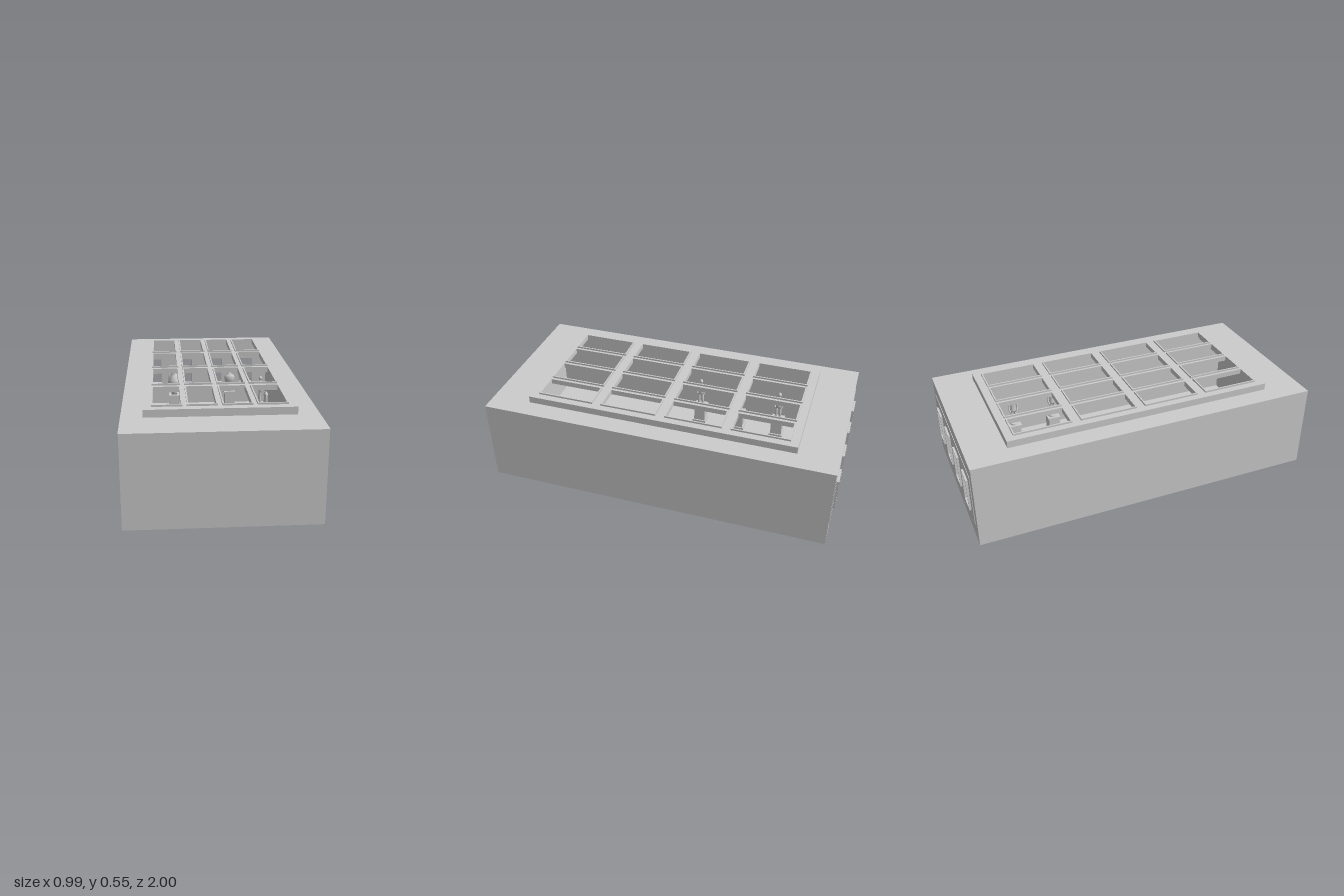
import * as THREE from 'three';

const mat = new THREE.MeshStandardMaterial({ color: 0xcccccc });

function add(parent, name, geo, x = 0, y = 0, z = 0) {
  const m = new THREE.Mesh(geo, mat);
  m.name = name;
  m.position.set(x, y, z);
  parent.add(m);
  return m;
}

function box(parent, name, w, h, d, x, y, z) {
  return add(parent, name, new THREE.BoxGeometry(w, h, d), x, y, z);
}

function rect(Type, [a0, a1, b0, b1]) {
  const s = new Type();
  s.moveTo(a0, b0);
  s.lineTo(a1, b0);
  s.lineTo(a1, b1);
  s.lineTo(a0, b1);
  s.closePath();
  return s;
}

// Rectangular plate in the xy plane, pierced by rectangular holes
function plate(outer, holes, depth) {
  const s = rect(THREE.Shape, outer);
  s.holes = holes.map(h => rect(THREE.Path, h));
  return new THREE.ExtrudeGeometry(s, { depth, bevelEnabled: false });
}

// The same plate laid flat; rectangles are [x0, x1, z0, z1]
function flat(outer, holes, depth) {
  const turn = ([a, b, c, d]) => [a, b, -d, -c];
  return plate(turn(outer), holes.map(turn), depth).rotateX(-Math.PI / 2);
}

const inset = ([a, b, c, d], t) => [a + t, b - t, c + t, d - t];

function lathe(points, sides = 20) {
  return new THREE.LatheGeometry(points.map(p => new THREE.Vector2(...p)), sides);
}

function limb(parent, name, points, r) {
  const curve = new THREE.CatmullRomCurve3(points.map(p => new THREE.Vector3(...p)));
  add(parent, name, new THREE.TubeGeometry(curve, 8, r, 8));
}

// Standing figure, 0.2 tall, facing +z
function figure() {
  const g = new THREE.Group();
  g.name = 'statue';
  const torso = lathe([[0, 0.085], [0.018, 0.087], [0.019, 0.1], [0.015, 0.12], [0.02, 0.145],
    [0.018, 0.156], [0.007, 0.162], [0.006, 0.172], [0, 0.172]], 14);
  add(g, 'torso', torso.scale(1, 1, 0.7));
  add(g, 'head', new THREE.SphereGeometry(0.0125, 14, 10).scale(0.9, 1.15, 1), 0, 0.182, 0);
  add(g, 'plinth', new THREE.CylinderGeometry(0.026, 0.028, 0.008, 16), 0, 0.004, 0);
  for (const s of [-1, 1]) {
    limb(g, 'leg', [[s * 0.01, 0.095, 0], [s * 0.012, 0.05, 0.004], [s * 0.012, 0.006, 0]], 0.008);
    limb(g, 'arm', [[s * 0.019, 0.152, 0], [s * 0.027, 0.12, 0], [s * 0.021, 0.092, 0.01]], 0.0055);
  }
  return g;
}

// Tall jar with two handles
function jar() {
  const g = new THREE.Group();
  g.name = 'jar';
  add(g, 'jarBody', lathe([[0, 0], [0.022, 0], [0.018, 0.012], [0.032, 0.04], [0.044, 0.085], [0.042, 0.11],
    [0.026, 0.14], [0.014, 0.155], [0.013, 0.185], [0.021, 0.2], [0.016, 0.2], [0, 0.18]], 24));
  for (const s of [-1, 1]) {
    limb(g, 'jarHandle', [[s * 0.013, 0.183, 0], [s * 0.034, 0.178, 0], [s * 0.036, 0.118, 0]], 0.004);
  }
  return g;
}

// Head and shoulders on a small foot
function bust() {
  const g = new THREE.Group();
  g.name = 'bust';
  add(g, 'shoulders', lathe([[0, 0], [0.02, 0], [0.013, 0.02], [0.016, 0.04], [0.034, 0.075], [0.038, 0.1],
    [0.03, 0.116], [0.012, 0.126], [0.011, 0.145], [0, 0.145]], 18).scale(1, 1, 0.7));
  add(g, 'head', new THREE.SphereGeometry(0.022, 16, 12).scale(0.9, 1.2, 1), 0, 0.168, 0);
  return g;
}

// Square pedestal with a base and a cap, carrying a sculpture
function exhibit(parent, sculpture, x, z, top, turn) {
  const g = new THREE.Group();
  g.name = 'exhibit';
  box(g, 'pedestalBase', 0.086, 0.015, 0.086, 0, 0.0225, 0);
  box(g, 'pedestal', 0.07, top - 0.015, 0.07, 0, (top + 0.015) / 2, 0);
  box(g, 'pedestalCap', 0.08, 0.012, 0.08, 0, top - 0.006, 0);
  sculpture.position.y = top;
  g.add(sculpture);
  g.position.set(x, 0, z);
  g.rotation.y = turn;
  parent.add(g);
}

export function createModel() {
  const model = new THREE.Group();
  model.name = 'gallery';

  // Floor and closed walls
  box(model, 'floor', 0.99, 0.015, 1.985, 0, 0.0075, 0.0075);
  box(model, 'frontWall', 0.99, 0.47, 0.02, 0, 0.25, 0.99);
  for (const s of [-1, 1]) box(model, 'sideWall', 0.02, 0.47, 1.945, s * 0.485, 0.25, 0.0075);

  // Back wall with four windows, a shallow raised panel and projecting frames
  const windows = [-0.335, -0.115, 0.105, 0.325].map(x => [x - 0.055, x + 0.055, 0.16, 0.355]);
  const openings = windows.map(w => inset(w, 0.008));
  add(model, 'backWall', plate([-0.495, 0.495, 0.015, 0.485], openings, 0.02), 0, 0, -0.985);
  add(model, 'backPanel', plate([-0.44, 0.44, 0.1, 0.41], openings, 0.003), 0, 0, -0.988);
  windows.forEach((w, i) => add(model, 'windowFrame', plate(w, [openings[i]], 0.015), 0, 0, -1));

  // Roof slab with one large opening and the raised kerb around it
  const kerb = [-0.385, 0.385, -0.765, 0.775];
  const well = inset(kerb, 0.03);
  add(model, 'roof', flat([-0.497, 0.497, -0.987, 1], [well], 0.01), 0, 0.485, 0);
  add(model, 'skylightKerb', flat(kerb, [well], 0.02), 0, 0.495, 0);

  // Skylight grid, four by four, each pane rimmed
  const panes = [];
  for (let i = 0; i < 4; i++) {
    for (let j = 0; j < 4; j++) {
      const x = -0.345 + i * 0.178, z = -0.72 + j * 0.375;
      panes.push([x, x + 0.156, z, z + 0.325]);
    }
  }
  const holes = panes.map(p => inset(p, 0.008));
  add(model, 'skylightGrid', flat(kerb, holes, 0.02), 0, 0.515, 0);
  panes.forEach((p, i) => add(model, 'skylightRim', flat(p, [holes[i]], 0.01), 0, 0.535, 0));

  // Figures along the side walls, facing inward
  for (const z of [-0.54, -0.285, -0.03]) exhibit(model, figure(), -0.38, z, 0.13, Math.PI / 2);
  for (const z of [-0.54, -0.285]) exhibit(model, figure(), 0.38, z, 0.13, -Math.PI / 2);

  // Pieces between the back windows
  exhibit(model, jar(), -0.2, -0.88, 0.11, 0);
  exhibit(model, bust(), 0.2, -0.88, 0.13, 0);

  return model;
}
